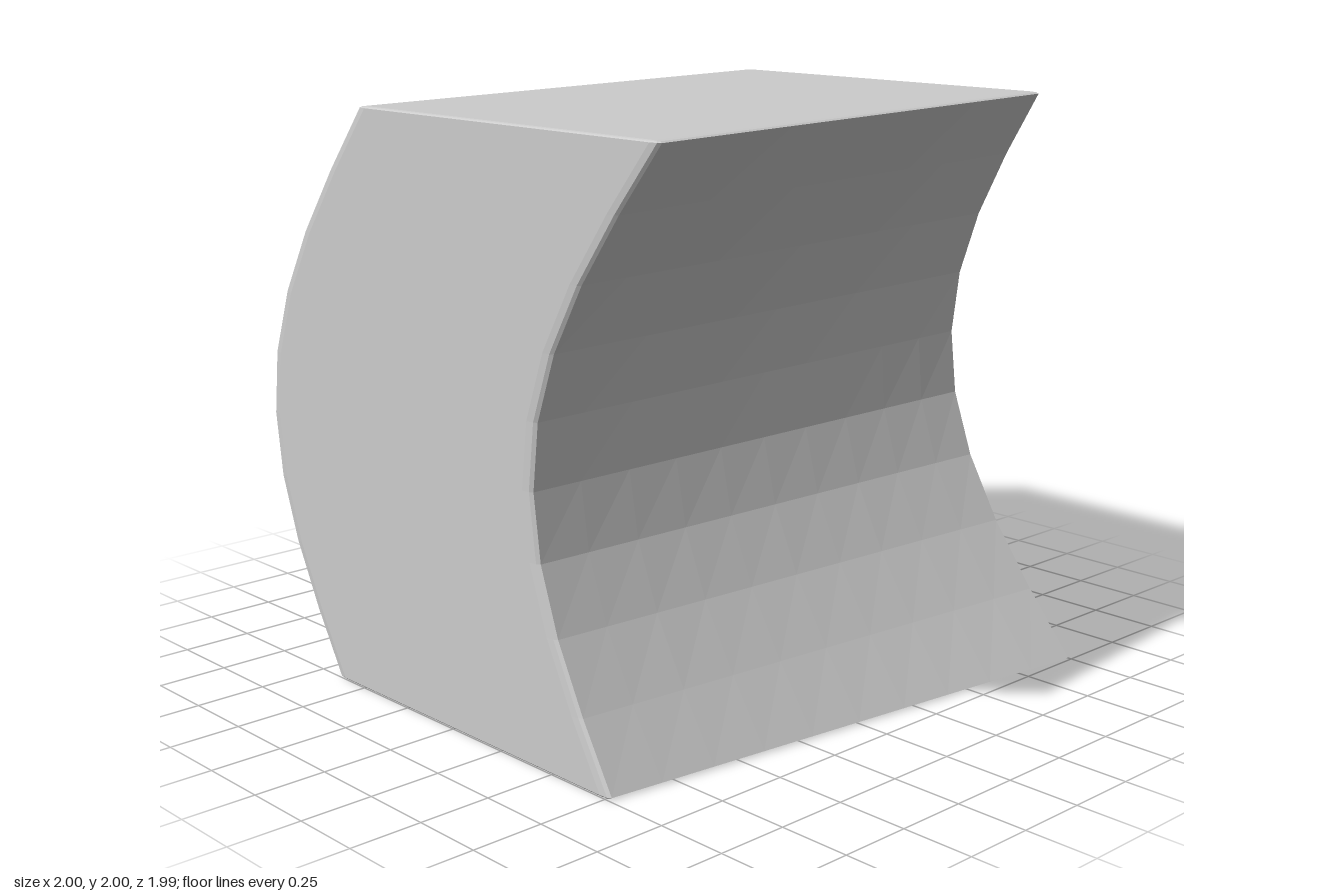
import * as THREE from 'three';

const HALF = [1, 1, 0.71];            // half width, height, depth
const BEVEL = [0.012, 0.006, 0.04];   // edge rounding along each axis
const SEGS = [12, 11, 3];             // grid cells, outer ones form the bevel

// Grid line i along one axis: outer lines at the faces, next ones a bevel inside
function gridLine(i, axis) {
  const n = SEGS[axis], h = HALF[axis];
  if (i === 0) return -h;
  if (i === n) return h;
  const inner = -h + ((i - 1) / (n - 2)) * 2 * h;
  return THREE.MathUtils.clamp(inner, -h + BEVEL[axis], h - BEVEL[axis]);
}

// Block with softly rounded edges, bowed backwards and twisted along its height
function bentBlock() {
  const geo = new THREE.BoxGeometry(1, 1, 1, ...SEGS);
  const pos = geo.attributes.position;
  const p = [0, 0, 0];
  for (let v = 0; v < pos.count; v++) {
    const idx = [pos.getX(v), pos.getY(v), pos.getZ(v)].map((c, a) => Math.round((c + 0.5) * SEGS[a]));
    const outer = idx.map((i, a) => i === 0 || i === SEGS[a]);
    const count = outer.filter(Boolean).length;
    const pull = count === 3 ? 0.42 : count === 2 ? 0.3 : 0;
    for (let a = 0; a < 3; a++) {
      p[a] = gridLine(idx[a], a);
      if (outer[a]) p[a] -= Math.sign(p[a]) * pull * BEVEL[a];
    }
    const [x, y, z] = p;
    const bow = 0.885 - HALF[2] - 0.46 * Math.cos((y * Math.PI) / 2);
    const twist = -0.115 * x * y;
    pos.setXYZ(v, x, y + 1, z + bow + twist);
  }
  geo.computeVertexNormals();
  return geo;
}

export function createModel() {
  const group = new THREE.Group();
  group.name = 'curvedBlock';
  const block = new THREE.Mesh(
    bentBlock(),
    new THREE.MeshStandardMaterial({ color: 0xcccccc, flatShading: true })
  );
  block.name = 'bentBlock';
  group.add(block);
  return group;
}
